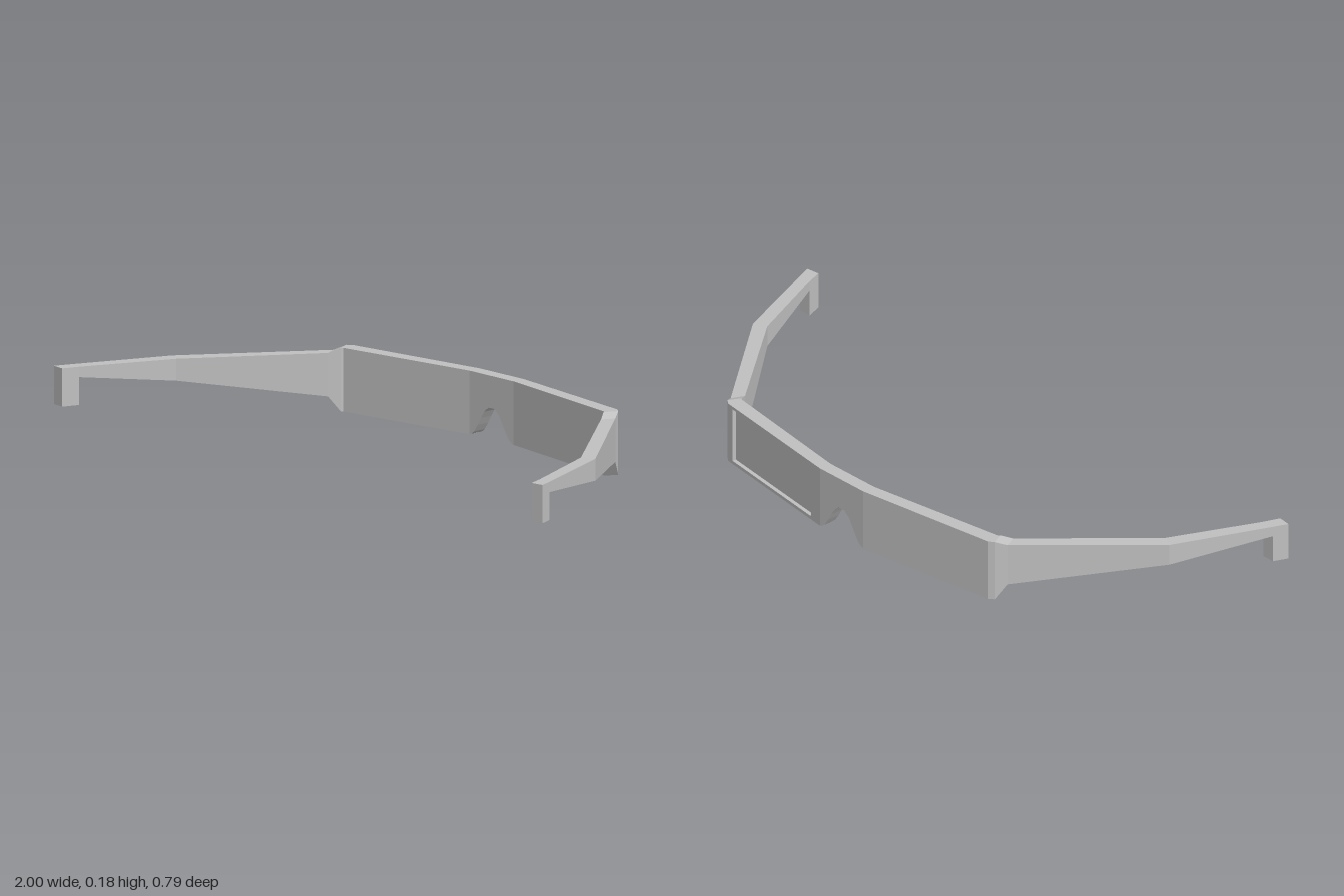
import * as THREE from 'three';

const TOP = 0.183, INSET = 0.012;

// Station: outer x,z, inner x,z, bottom, top
const st = (ox, oz, ix, iz, bottom, top) => ({ ox, oz, ix, iz, bottom, top });

// Mirroring also reverses the order, so stations always run towards +x
const mirror = (list) => list.map((s) => ({ ...s, ox: -s.ox, ix: -s.ix })).reverse();

// Solid with hard edges through four-cornered cross-sections
function loft(stations) {
  const rings = stations.map((s) => [
    [s.ox, s.bottom, s.oz], [s.ox, s.top, s.oz],
    [s.ix, s.top, s.iz], [s.ix, s.bottom, s.iz],
  ]);
  const pos = [];
  const quad = (a, b, c, d) => pos.push(...a, ...b, ...c, ...a, ...c, ...d);
  for (let i = 0; i < rings.length - 1; i++) {
    const a = rings[i], b = rings[i + 1];
    for (let j = 0; j < 4; j++) {
      const k = (j + 1) % 4;
      quad(a[j], a[k], b[k], b[j]);
    }
  }
  quad(...rings[rings.length - 1]);
  quad(...[...rings[0]].reverse());
  const geo = new THREE.BufferGeometry();
  geo.setAttribute('position', new THREE.Float32BufferAttribute(pos, 3));
  geo.computeVertexNormals();
  return geo;
}

export function createModel() {
  const model = new THREE.Group();
  model.name = 'glasses';
  const grey = new THREE.MeshStandardMaterial({ color: 0xc0c0c0 });
  grey.name = 'grey';
  const add = (name, geo) => {
    const mesh = new THREE.Mesh(geo, grey);
    mesh.name = name;
    model.add(mesh);
    return mesh;
  };

  // Bridge with the arched nose notch
  const arch = [[0.012, 0.09], [0.03, 0.075], [0.043, 0.055], [0.056, 0.033], [0.07, 0.012], [0.08, 0.004], [0.09, 0]];
  const half = arch.map(([x, y]) => st(x, -0.393, x, -0.353, y, TOP));
  add('bridge', loft([...mirror(half), ...half]));

  // Ends of each front panel's outer face
  const nose = new THREE.Vector2(0.09, -0.393), corner = new THREE.Vector2(0.54, -0.33);
  const length = nose.distanceTo(corner);
  const u = corner.clone().sub(nose).normalize();
  const inX = -u.y * INSET, inZ = u.x * INSET;

  for (const side of [1, -1]) {
    const label = side > 0 ? 'left' : 'right';
    const place = (list) => loft(side > 0 ? list : mirror(list));

    // Lens panel, set back behind its rim
    add(label + 'LensPanel', place([
      st(nose.x + inX, nose.y + inZ, 0.09, -0.353, 0, TOP),
      st(corner.x + inX, corner.y + inZ, 0.534, -0.286, 0, TOP),
    ]));

    // Rim plate with the lens opening
    const flip = ([s, y]) => new THREE.Vector2(side > 0 ? s : length - s, y);
    const shape = new THREE.Shape([[0, 0], [length, 0], [length, TOP], [0, TOP]].map(flip));
    shape.holes.push(new THREE.Path(
      [[0.045, 0.01], [length - 0.022, 0.01], [length - 0.022, TOP - 0.009], [0.02, TOP - 0.009]].map(flip)));
    const rimGeo = new THREE.ExtrudeGeometry(shape, { depth: INSET, bevelEnabled: false });
    const start = side > 0 ? nose : new THREE.Vector2(-corner.x, corner.y);
    const X = new THREE.Vector3(u.x, 0, side * u.y);
    const Y = new THREE.Vector3(0, 1, 0);
    const Z = new THREE.Vector3().crossVectors(X, Y);
    rimGeo.applyMatrix4(new THREE.Matrix4().makeBasis(X, Y, Z).setPosition(start.x, 0, start.y));
    add(label + 'Rim', rimGeo);

    // Hinge corner, tapering temple arm and its turned-down tip
    add(label + 'Temple', place([
      st(0.54, -0.33, 0.534, -0.286, 0, TOP),
      st(0.556, -0.318, 0.537, -0.28, 0, TOP),
      st(0.576, -0.288, 0.558, -0.25, 0.045, 0.17),
      st(0.866, 0.06, 0.828, 0.08, 0.097, 0.16),
      st(0.983, 0.345, 0.943, 0.345, 0.13, 0.16),
      st(0.983, 0.345, 0.943, 0.345, 0.05, 0.16),
      st(1.0, 0.388, 0.96, 0.393, 0.05, 0.16),
    ]));
  }
  return model;
}
